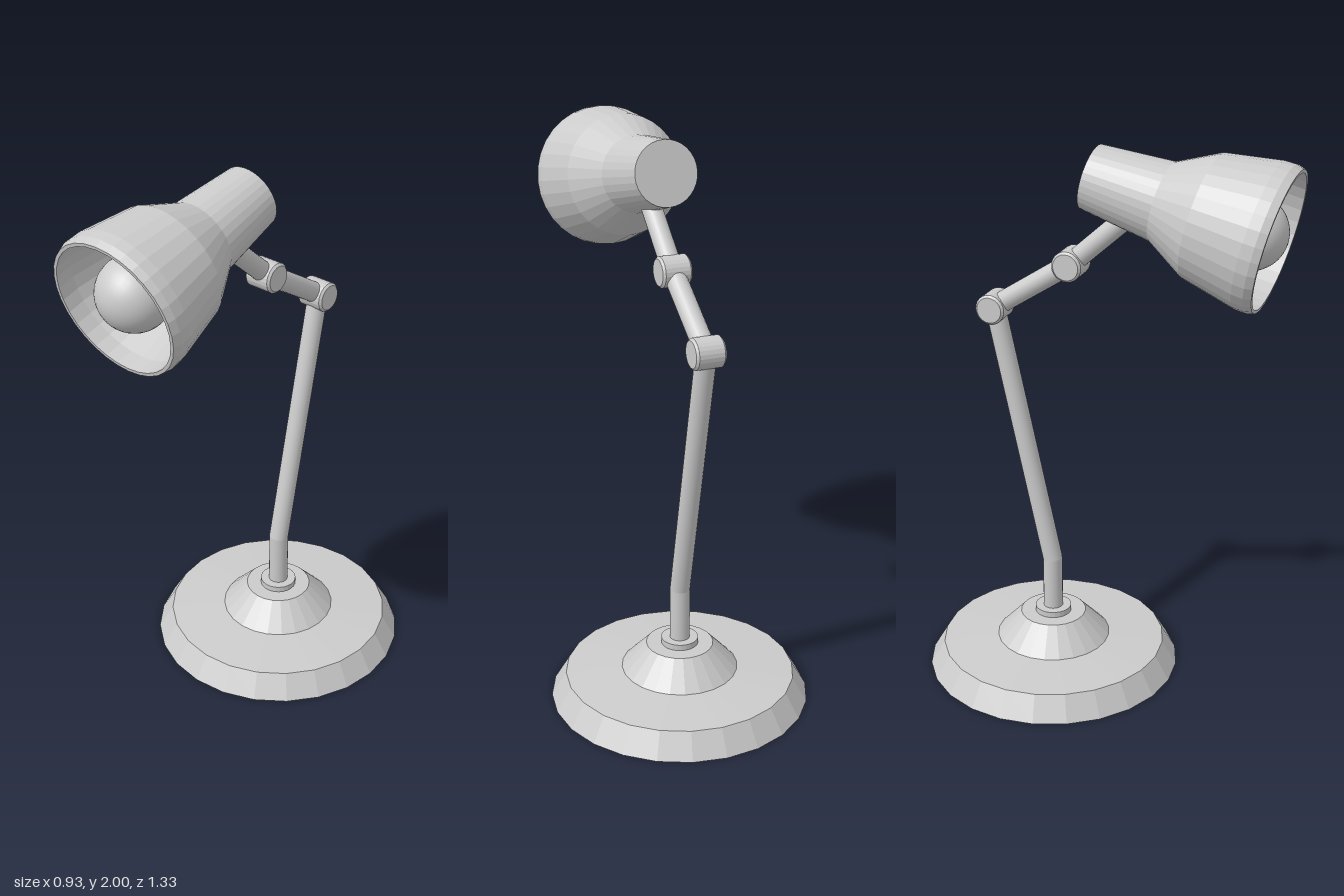
import * as THREE from 'three';

const V = (x, y, z) => new THREE.Vector3(x, y, z);
const UP = V(0, 1, 0);

export function createModel() {
  const lamp = new THREE.Group();
  lamp.name = 'deskLamp';
  const faceted = new THREE.MeshStandardMaterial({ color: 0xcccccc, flatShading: true });
  const smooth = new THREE.MeshStandardMaterial({ color: 0xcccccc });

  const add = (parent, name, geometry, material, position) => {
    const mesh = new THREE.Mesh(geometry, material);
    mesh.name = name;
    mesh.position.copy(position);
    parent.add(mesh);
    return mesh;
  };
  const lathe = (points, sides) => new THREE.LatheGeometry(
    points.map(([r, y]) => new THREE.Vector2(r, y)), sides, Math.PI / sides);

  // Round rod between two points
  const rod = (name, a, b, radius) => {
    const dir = b.clone().sub(a);
    const mesh = add(lamp, name, new THREE.CylinderGeometry(radius, radius, dir.length(), 20),
      smooth, a.clone().lerp(b, 0.5));
    mesh.quaternion.setFromUnitVectors(UP, dir.normalize());
  };

  // Weighted foot with raised hub and collar
  const foot = V(0, 0, -0.204);
  add(lamp, 'base', lathe([
    [0, 0], [0.467, 0], [0.414, 0.09], [0.21, 0.105], [0.121, 0.2],
    [0.067, 0.2], [0.067, 0.222], [0, 0.222],
  ], 24), faceted, foot);

  // Bent stem and the two arms
  const bend = V(0, 0.42, -0.204);
  const elbow = V(0.021, 1.385, -0.409);
  const knuckle = V(-0.009, 1.576, -0.12);
  const neck = V(-0.03, 1.785, 0.11);
  rod('lowerStem', V(0, 0.2, -0.204), bend, 0.036);
  add(lamp, 'stemBend', new THREE.SphereGeometry(0.036, 20, 12), smooth, bend);
  rod('upperStem', bend, elbow, 0.036);
  rod('middleArm', elbow, knuckle, 0.037);
  rod('shadeArm', knuckle, neck, 0.036);

  // Barrel hinges with bevelled ends, lying across the arms
  const across = V(1, 0, 0.1).normalize();
  for (const [name, p] of [['elbowHinge', elbow], ['shadeHinge', knuckle]]) {
    const hinge = add(lamp, name, lathe([
      [0, -0.053], [0.046, -0.053], [0.054, -0.045],
      [0.054, 0.045], [0.046, 0.053], [0, 0.053],
    ], 24), faceted, p);
    hinge.quaternion.setFromUnitVectors(UP, across);
  }

  // Lamp head: local +y runs from the back cap to the open rim
  const head = new THREE.Group();
  head.name = 'lampHead';
  head.position.set(-0.025, 1.888, -0.042);
  head.quaternion.setFromUnitVectors(UP, V(-0.065, -0.153, 0.647).normalize());
  lamp.add(head);

  // Double-walled shade
  add(head, 'shade', lathe([
    [0, 0], [0.112, 0], [0.137, 0.26], [0.214, 0.403], [0.251, 0.6], [0.252, 0.64],
    [0.244, 0.667], [0.232, 0.667], [0.234, 0.6], [0.198, 0.408], [0.122, 0.266],
    [0.1, 0.02], [0, 0.02],
  ], 32), faceted, V(0, 0, 0));

  // Socket and bulb
  add(head, 'socket', new THREE.CylinderGeometry(0.06, 0.06, 0.45, 20), smooth, V(0, 0.245, 0));
  add(head, 'bulb', new THREE.SphereGeometry(0.125, 32, 20), smooth, V(0, 0.567, 0));

  return lamp;
}
